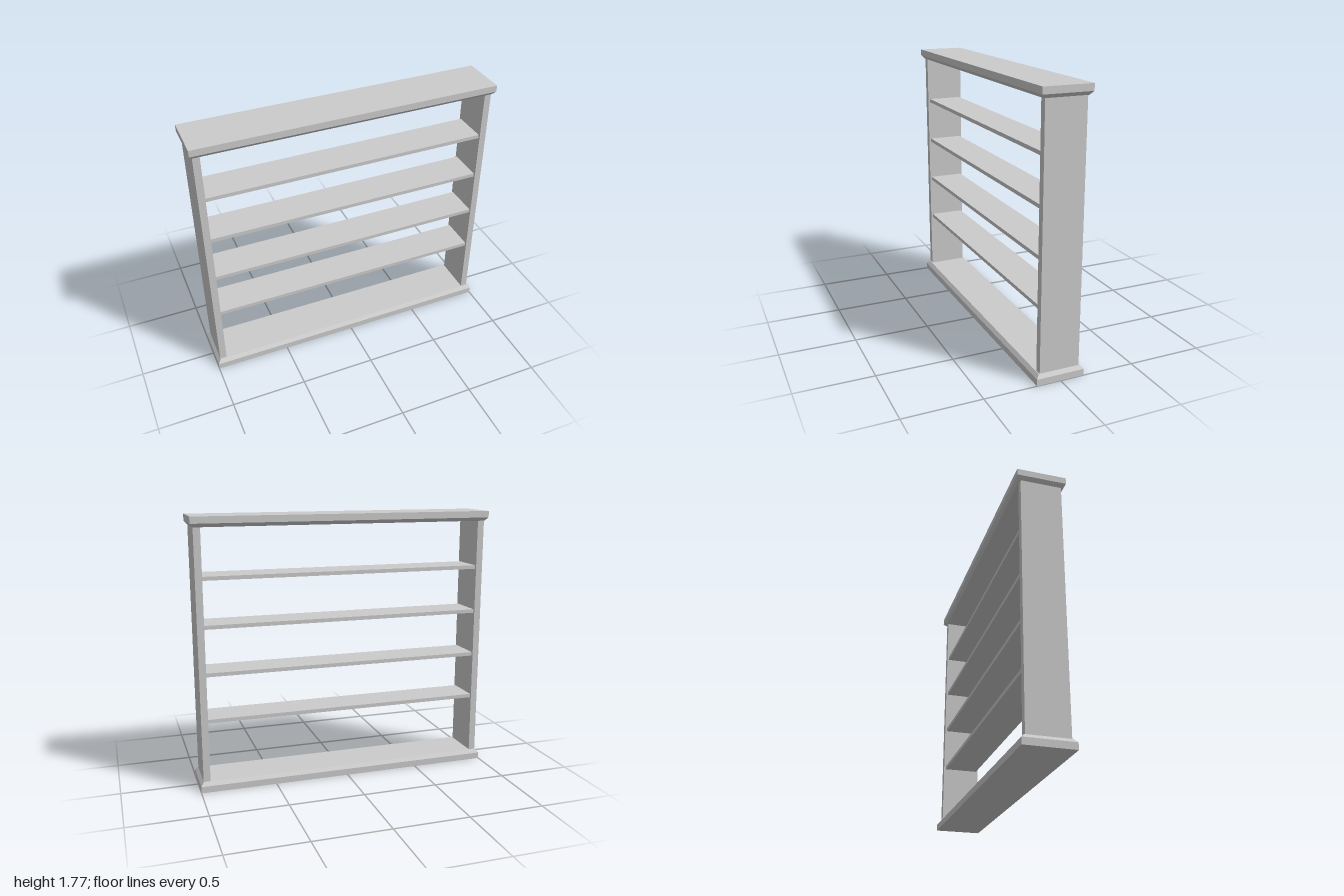
import * as THREE from 'three';

const material = new THREE.MeshStandardMaterial({ color: 0xcccccc, flatShading: true });

// Slab whose upper rim is chamfered on all four sides
function chamferedSlab(width, height, depth, chamferHeight, inset) {
  const geo = new THREE.BoxGeometry(width, height, depth, 1, 2, 1);
  const pos = geo.attributes.position;
  for (let i = 0; i < pos.count; i++) {
    const y = pos.getY(i);
    if (Math.abs(y) < 1e-6) pos.setY(i, height / 2 - chamferHeight);
    else if (y > 0) {
      pos.setX(i, pos.getX(i) - Math.sign(pos.getX(i)) * inset);
      pos.setZ(i, pos.getZ(i) - Math.sign(pos.getZ(i)) * inset);
    }
  }
  const flat = geo.toNonIndexed();
  flat.computeVertexNormals();
  return flat;
}

export function createModel() {
  const group = new THREE.Group();
  const add = (name, geometry, x, y, z) => {
    const mesh = new THREE.Mesh(geometry, material);
    mesh.name = name;
    mesh.position.set(x, y, z);
    group.add(mesh);
    return mesh;
  };

  const H = 1.775, slabH = 0.066, depth = 0.316;
  const inner = 0.935, outer = 0.98;

  // Base plinth, and the same moulding turned over as the top
  const slab = chamferedSlab(2, slabH, depth, 0.023, 0.02);
  add('base', slab, 0, slabH / 2, 0);
  add('top', slab, 0, H - slabH / 2, 0).rotation.x = Math.PI;

  // Side panels
  const sideH = H - 2 * slabH;
  const side = new THREE.BoxGeometry(outer - inner, sideH, 0.263);
  for (const s of [1, -1]) {
    add(s > 0 ? 'leftSide' : 'rightSide', side, s * (inner + outer) / 2, H / 2, 0);
  }

  // Four evenly spaced shelves, slightly recessed
  const shelf = new THREE.BoxGeometry(2 * inner, 0.025, 0.236);
  for (let i = 0; i < 4; i++) {
    add(`shelf${i + 1}`, shelf, 0, 0.469 + i * 0.308, 0);
  }

  return group;
}
